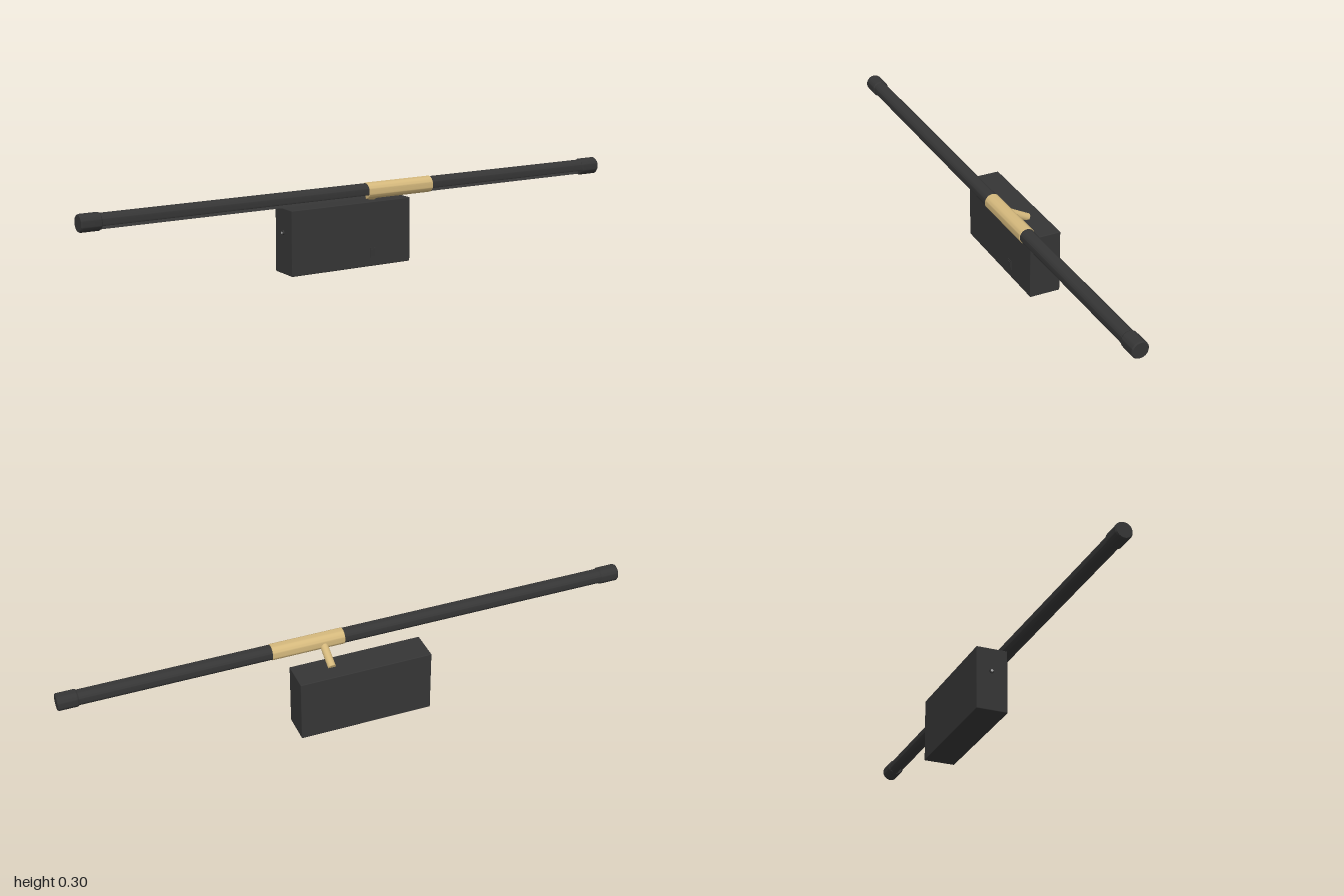
import * as THREE from 'three';
import { toCreasedNormals } from 'three/addons/utils/BufferGeometryUtils.js';
import { RoundedBoxGeometry } from 'three/addons/geometries/RoundedBoxGeometry.js';

const BAR_Y = 0.27, BAR_Z = 0.06;

function mat(name, color) {
  const m = new THREE.MeshStandardMaterial({ color });
  m.name = name;
  return m;
}

export function createModel() {
  const black = mat('matt black', 0x353535);
  const brass = mat('brushed brass', 0xd4b87c);
  const grey = mat('diffuser grey', 0xb4b4b4);
  const group = new THREE.Group();

  function add(name, geometry, material, x = 0, y = 0, z = 0) {
    const mesh = new THREE.Mesh(geometry, material);
    mesh.name = name;
    mesh.position.set(x, y, z);
    group.add(mesh);
    return mesh;
  }

  // Solid of revolution lying along x, from [radius, x] points
  const turned = (points) => toCreasedNormals(
    new THREE.LatheGeometry(points.map(([r, x]) => new THREE.Vector2(r, x)), 40).rotateZ(-Math.PI / 2), 0.5);

  // Wall box that carries the lamp
  add('wallBox', new RoundedBoxGeometry(0.465, 0.222, 0.109, 2, 0.003), black, -0.0025, 0.111, -0.0335);

  // Rocker switch on the front of the box
  add('switchFrame', new THREE.BoxGeometry(0.022, 0.034, 0.004), black, 0.08, 0.047, 0.021);
  add('switchRocker', new THREE.BoxGeometry(0.014, 0.024, 0.003), black, 0.08, 0.047, 0.0225).rotation.x = 0.05;

  // Side screw with a small bright centre
  add('sideScrew', turned([[0, -0.005], [0.008, -0.005], [0.008, 0.005], [0, 0.005]]), black, -0.235, 0.14, -0.036);
  add('screwCentre', turned([[0, -0.001], [0.004, -0.001], [0.004, 0.001], [0, 0.001]]), grey, -0.24, 0.14, -0.036);

  // Light bar: round profile with a slot facing forward and down
  const R = 0.0255, half = 0.012, depth = 0.012, tilt = THREE.MathUtils.degToRad(55);
  const spread = Math.asin(half / R), mid = Math.PI + tilt;
  const floor = R * Math.cos(spread) - depth;
  const along = (d, s) => [d * Math.cos(mid) - s * Math.sin(mid), d * Math.sin(mid) + s * Math.cos(mid)];
  const profile = new THREE.Shape();
  profile.absarc(0, 0, R, mid + spread, mid - spread + Math.PI * 2, false);
  profile.lineTo(...along(floor, -half));
  profile.lineTo(...along(floor, half));
  profile.closePath();
  const bar = new THREE.ExtrudeGeometry(profile, { depth: 1.9, bevelEnabled: false, curveSegments: 40 });
  bar.translate(0, 0, -0.95).rotateY(Math.PI / 2);
  add('lightBar', toCreasedNormals(bar, 0.5), black, 0, BAR_Y, BAR_Z);

  // Diffuser strips on the slot floor, either side of the sleeve
  for (const [a, b] of [[-0.89, -0.2], [0.41, 0.89]]) {
    const strip = add('diffuser', new THREE.BoxGeometry(b - a, 0.002, half * 2 - 0.001), grey, (a + b) / 2,
      BAR_Y - floor * Math.sin(tilt), BAR_Z + floor * Math.cos(tilt));
    strip.rotation.x = tilt - Math.PI / 2;
  }

  // End caps with a chamfer at both rims
  const cap = [[0, -0.035], [0.026, -0.035], [0.029, -0.03], [0.029, 0.031], [0.026, 0.035], [0, 0.035]];
  for (const side of [-1, 1]) add('endCap', turned(cap), black, side * 0.965, BAR_Y, BAR_Z);

  // Brass sleeve around the bar
  add('sleeve', turned([[0.0255, -0.1275], [0.0275, -0.126], [0.0275, 0.126], [0.0255, 0.1275], [0, 0.1275]]),
    brass, 0.153, BAR_Y, BAR_Z);
  add('sleeveBackFace', turned([[0, -0.001], [0.0255, -0.001], [0.0255, 0.001]]), brass, 0.0265, BAR_Y, BAR_Z);

  // Slanted arm from the box top to the sleeve
  const foot = new THREE.Vector3(0.1, 0.2235, -0.034), head = new THREE.Vector3(0.1, BAR_Y, 0.054);
  const dir = head.clone().sub(foot);
  const arm = add('arm', new THREE.CylinderGeometry(0.0135, 0.0135, dir.length(), 32), brass);
  arm.position.copy(foot).addScaledVector(dir, 0.5);
  arm.quaternion.setFromUnitVectors(new THREE.Vector3(0, 1, 0), dir.normalize());

  return group;
}
